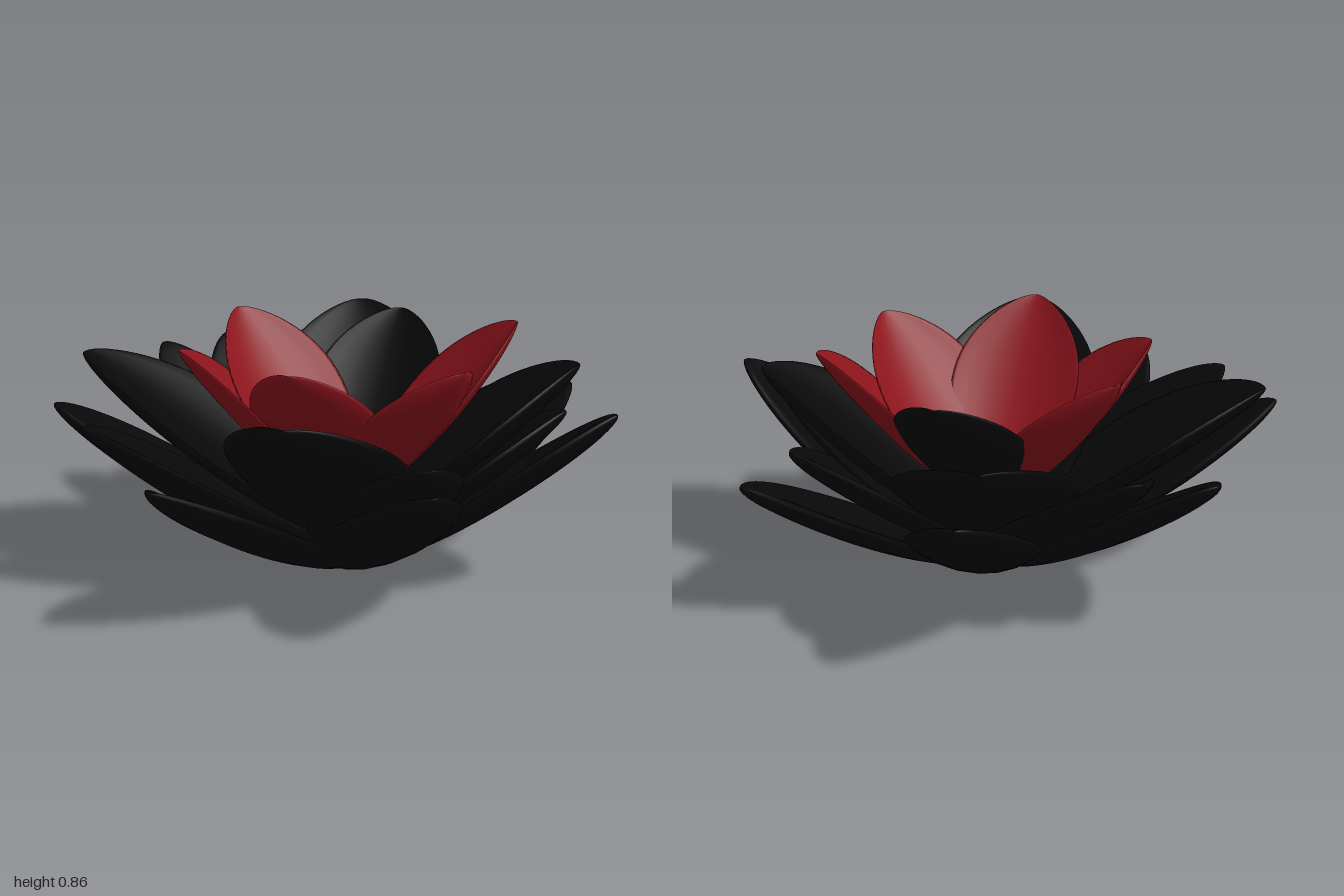
import * as THREE from 'three';

const CX = 0.01, CZ = 0.09; // axis of the flower
const black = new THREE.MeshStandardMaterial({ color: 0x080808, side: THREE.DoubleSide });
const red = new THREE.MeshStandardMaterial({ color: 0x8c141c, side: THREE.DoubleSide });

// Cupped petal growing along +x from (r0, y0) to (r1, y1): elliptical sections bent upward at the edges
function petalGeometry({ r0, y0, r1, y1, width, widest, cup, bend, thick }) {
  const rows = 24, ring = 20, pos = [], idx = [];
  for (let i = 0; i <= rows; i++) {
    const t = 1 - Math.pow(1 - i / rows, 1.7); // denser rows near the tip
    const s = Math.PI * (0.15 + 0.85 * Math.pow(t, widest));
    const w = width * Math.pow(Math.max(Math.sin(s), 0), 0.66);
    const slope = Math.atan2((y1 - y0) * bend * Math.pow(t, bend - 1), r1 - r0);
    const r = r0 + (r1 - r0) * t, y = y0 + (y1 - y0) * Math.pow(t, bend);
    const half = thick * Math.sqrt(1 - Math.pow(t, 10)); // rounded tip
    for (let j = 0; j < ring; j++) {
      const a = (j / ring) * Math.PI * 2, v = Math.cos(a);
      const lift = cup * w * v * v + half * Math.sin(a);
      pos.push(r - lift * Math.sin(slope), y + lift * Math.cos(slope), v * w);
      if (i < rows) {
        const p = i * ring + j, q = i * ring + ((j + 1) % ring);
        idx.push(p, p + ring, q, q, p + ring, q + ring);
      }
    }
  }
  // close the blunt base
  for (let j = 1; j < ring - 1; j++) idx.push(0, j, j + 1);
  const g = new THREE.BufferGeometry();
  g.setAttribute('position', new THREE.Float32BufferAttribute(pos, 3));
  g.setIndex(idx);
  g.computeVertexNormals();
  return g;
}

// Each petal: [angle from +x toward +z in degrees, tip radius, tip height, colour]
const layers = [
  {
    name: 'outerPetal', r0: 0.03, y0: 0.035, width: 0.23, widest: 1.3, cup: 0.24, bend: 1.4, thick: 0.034,
    petals: [[10, 1.0, 0.53], [64, 0.97, 0.66], [117, 0.98, 0.56], [170, 1.02, 0.53],
      [221, 1.03, 0.6], [270, 1.06, 0.62], [320, 1.06, 0.6]],
  },
  {
    name: 'middlePetal', r0: 0.04, y0: 0.08, width: 0.25, widest: 1.3, cup: 0.25, bend: 1.3, thick: 0.03,
    petals: [[13, 0.79, 0.59], [55, 0.77, 0.62], [114, 0.83, 0.6],
      [200, 0.96, 0.61], [283, 0.95, 0.65]],
  },
  {
    name: 'upperPetal', r0: 0.05, y0: 0.13, width: 0.32, widest: 1.3, cup: 0.32, bend: 1.2, thick: 0.026,
    petals: [[44.5, 0.81, 0.75], [146, 0.84, 0.74], [234, 0.97, 0.73], [316, 0.97, 0.75]],
  },
  {
    name: 'innerPetal', r0: 0.04, y0: 0.27, width: 0.24, widest: 1.6, cup: 0.34, bend: 1.35, thick: 0.014,
    petals: [[29, 0.62, 0.86, red], [90, 0.57, 0.82, red], [152, 0.57, 0.84, red],
      [213, 0.59, 0.81, red], [270, 0.6, 0.84, red], [332, 0.6, 0.81, black]],
  },
];

export function createModel() {
  const flower = new THREE.Group();
  flower.name = 'flower';

  for (const { name, petals, ...shape } of layers) {
    const layer = new THREE.Group();
    layer.name = name + 's';
    layer.position.set(CX, 0, CZ);
    for (const [angle, r1, y1, material = black] of petals) {
      const petal = new THREE.Mesh(petalGeometry({ ...shape, r1, y1 }), material);
      petal.name = name;
      petal.rotation.y = -THREE.MathUtils.degToRad(angle);
      layer.add(petal);
    }
    flower.add(layer);
  }

  // core holding the petals together
  const coreProfile = [[0, 0.02], [0.07, 0.03], [0.1, 0.1], [0.09, 0.2], [0, 0.27]];
  const core = new THREE.Mesh(
    new THREE.LatheGeometry(coreProfile.map(([x, y]) => new THREE.Vector2(x, y)), 24), black);
  core.name = 'core';
  core.position.set(CX, 0, CZ);

  // bud in the middle of the cup
  const bud = new THREE.Mesh(new THREE.SphereGeometry(0.09, 24, 16), red);
  bud.name = 'bud';
  bud.position.set(0.02, 0.37, CZ);
  flower.add(core, bud);

  // stand the flower on the ground
  const floor = new THREE.Box3().setFromObject(flower).min.y;
  for (const part of flower.children) part.position.y -= floor;
  return flower;
}
